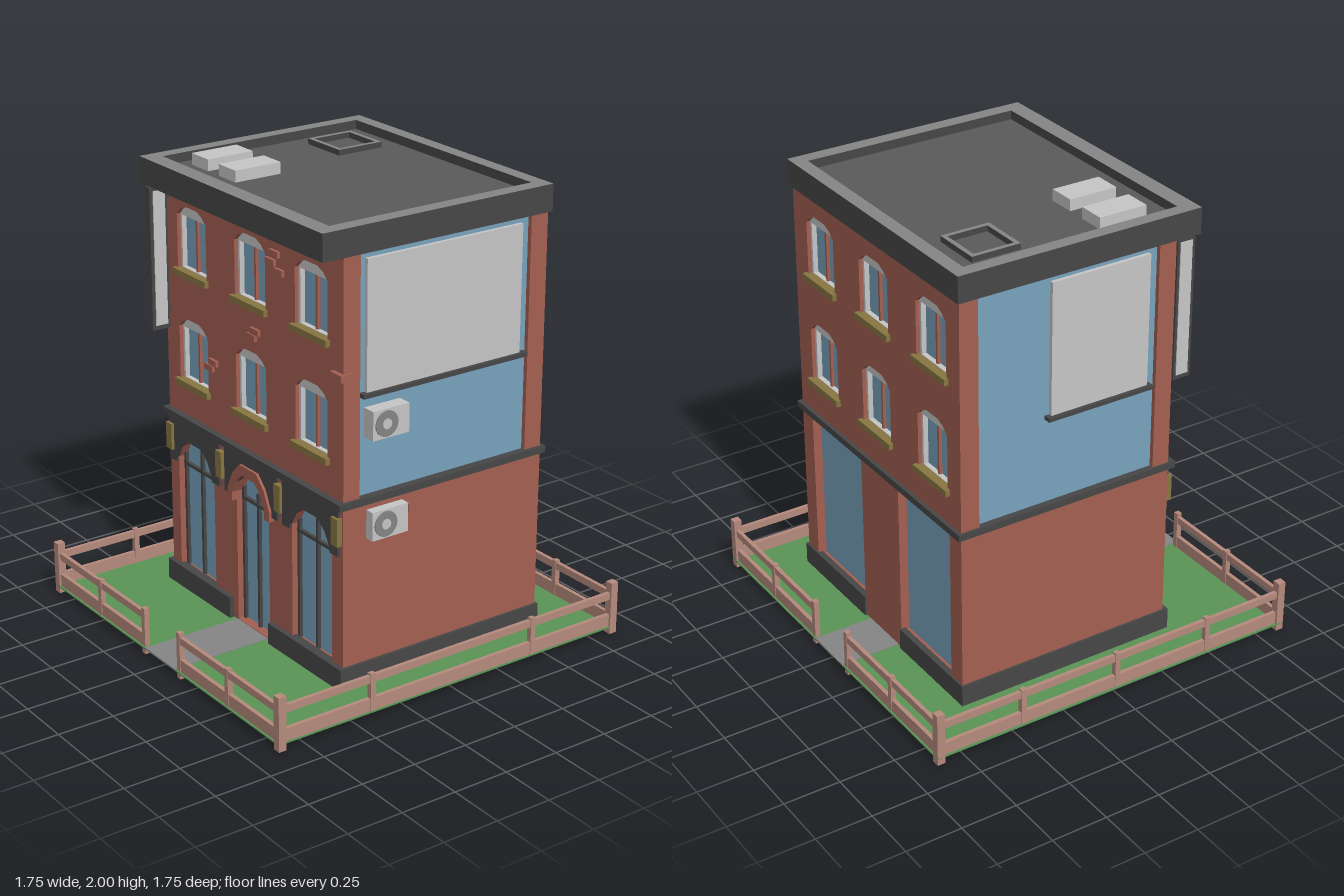
import * as THREE from 'three';

const mat = (name, color) => {
  const m = new THREE.MeshStandardMaterial({ color });
  m.name = name;
  return m;
};

export function createModel() {
  const brick = mat('brick', 0xa46052), glass = mat('blueGlass', 0x78a3bd), dark = mat('darkTrim', 0x474747);
  const deck = mat('roofDeck', 0x5a5a5a), concrete = mat('concrete', 0x858585), light = mat('lightGrey', 0xc6c6c6);
  const grass = mat('grass', 0x5a9455), olive = mat('oliveStone', 0x887642), wood = mat('fenceWood', 0xb58a7d);

  const model = new THREE.Group();
  model.name = 'building';
  const add = (name, geo, m, parent = model) => {
    const mesh = new THREE.Mesh(geo, m);
    mesh.name = name;
    parent.add(mesh);
    return mesh;
  };
  // box given by its extents on each axis
  const box = (name, m, x0, x1, y0, y1, z0, z1, parent) => {
    const b = add(name, new THREE.BoxGeometry(Math.abs(x1 - x0), y1 - y0, Math.abs(z1 - z0)), m, parent);
    b.position.set((x0 + x1) / 2, (y0 + y1) / 2, (z0 + z1) / 2);
    return b;
  };
  const poly = pts => new THREE.Shape(pts.map(p => new THREE.Vector2(...p)));
  const rect = (u0, u1, v0, v1) => poly([[u0, v0], [u1, v0], [u1, v1], [u0, v1]]);
  // opening with a shallow arched head, centred on c
  const archPoints = (c, hw, y0, spring, top) => {
    const h = top - spring;
    const half = [[1, y0], [1, spring], [0.75, spring + h * 0.6], [0.4, top]];
    return [...half.map(([k, y]) => [c + k * hw, y]), ...half.reverse().map(([k, y]) => [c - k * hw, y])];
  };
  const arch = (...a) => poly(archPoints(...a));
  // panel lying in the z-y plane, between x0 and x1
  const panel = (name, m, shape, x0, x1, parent) => {
    const geo = new THREE.ExtrudeGeometry(shape, { depth: Math.abs(x1 - x0), bevelEnabled: false });
    geo.rotateY(-Math.PI / 2);
    const p = add(name, geo, m, parent);
    p.position.x = Math.max(x0, x1);
    return p;
  };

  // ground and paths
  box('lawn', grass, -0.875, 0.875, 0.028, 0.034, -0.875, 0.872);
  for (const s of [-1, 1]) box('path', concrete, s * 0.38, s * 0.876, 0.03, 0.037, -0.115, 0.115);

  // glazed core seen through every opening
  box('glazing', glass, -0.37, 0.56, 0.035, 1.88, -0.605, 0.635);

  // front and back: solid lower wall with corner piers above
  for (const [z0, z1] of [[0.6, 0.655], [-0.57, -0.625]]) {
    box('lowerWall', brick, -0.41, 0.598, 0.035, 0.85, z0, z1);
    box('cornerPier', brick, -0.41, -0.33, 0.85, 1.88, z0, z1);
    box('cornerPier', brick, 0.515, 0.598, 0.85, 1.88, z0, z1);
  }

  // side facades with two rows of three arched windows
  const columns = [-0.42, 0.013, 0.44], rows = [1.01, 1.505];
  for (const s of [1, -1]) {
    const side = new THREE.Group();
    side.name = s > 0 ? 'leftFacade' : 'rightFacade';
    model.add(side);
    const g = s > 0 ? 0.56 : -0.37, out = g + s * 0.04;
    const wall = rect(-0.625, 0.655, 0.035, 1.88);
    for (const y of rows) for (const c of columns) {
      wall.holes.push(arch(c, 0.11, y, y + 0.245, y + 0.29));
      const frame = arch(c, 0.11, y, y + 0.245, y + 0.29);
      frame.holes.push(rect(c - 0.098, c + 0.098, y + 0.012, y + 0.24));
      panel('windowFrame', light, frame, g, g + s * 0.022, side);
      box('mullion', brick, g, g + s * 0.014, y + 0.012, y + 0.24, c - 0.006, c + 0.006, side);
      box('windowSill', olive, g, out + s * 0.02, y - 0.018, y + 0.01, c - 0.125, c + 0.125, side);
    }
    if (s > 0) {
      wall.holes.push(rect(-0.54, -0.142, 0.12, 0.835), rect(0.157, 0.57, 0.12, 0.835));
    } else {
      // shop front: arched windows either side of an arched door
      for (const c of columns) {
        const door = c === columns[1], hw = door ? 0.12 : 0.14, y0 = door ? 0.04 : 0.12;
        wall.holes.push(arch(c, hw, y0, 0.64, 0.74));
        const surround = (w, low, high) => poly([...archPoints(c, hw, low, 0.64, 0.74),
          [c - w, low], [c - w, high], [c + w, high], [c + w, low]]);
        panel('fascia', dark, surround(0.195, 0.62, 0.835), out, out - 0.012, side);
        if (door) {
          const ring = poly([...archPoints(c, hw, 0.6, 0.64, 0.74),
            ...archPoints(c, hw + 0.035, 0.6, 0.65, 0.785).reverse()]);
          panel('doorArch', brick, ring, out, out - 0.024, side);
        }
        for (const d of door ? [-0.11, 0, 0.11] : [-0.13, 0, 0.13])
          box('shopMullion', dark, g, g - 0.015, y0, door || d ? 0.66 : 0.74, c + d - 0.007, c + d + 0.007, side);
        box('transom', dark, g, g - 0.015, 0.6, 0.615, c - hw, c + hw, side);
      }
      for (const z of [-0.6, -0.21, 0.225, 0.625])
        box('bracket', olive, out, out - 0.025, 0.67, 0.79, z - 0.022, z + 0.022, side);
      // raised bricks scattered over the wall
      for (const [z, y] of [[0.2, 1.77], [0.23, 1.7], [0.17, 1.73], [0.055, 1.4], [0.03, 1.37], [-0.29, 1.14], [-0.26, 1.17]])
        box('raisedBrick', brick, out, out - 0.014, y - 0.013, y + 0.013, z - 0.03, z + 0.03, side);
      box('cornerBrick', brick, -0.43, -0.375, 1.37, 1.4, 0.59, 0.667, side);
    }
    panel('sideWall', brick, wall, g, out, side);
    // plinth, left open at the middle
    for (const [z0, z1] of [[-0.635, -0.142], [0.15, 0.668]])
      box('plinth', dark, g + s * 0.02, s > 0 ? 0.608 : -0.432, 0.03, 0.13, z0, z1, side);
  }
  for (const [z0, z1] of [[0.64, 0.668], [-0.61, -0.635]]) box('plinth', dark, -0.432, 0.608, 0.03, 0.13, z0, z1);

  // string course between the floors
  for (const [z0, z1] of [[0.62, 0.67], [-0.59, -0.635]]) box('stringCourse', dark, -0.44, 0.617, 0.83, 0.86, z0, z1);
  for (const [x0, x1] of [[-0.44, -0.36], [0.55, 0.617]]) box('stringCourse', dark, x0, x1, 0.83, 0.86, -0.635, 0.67);

  // roof slab, parapet and deck
  box('roofSlab', dark, -0.517, 0.613, 1.875, 1.945, -0.64, 0.667);
  const rim = rect(-0.517, 0.613, -0.667, 0.64);
  rim.holes.push(rect(-0.44, 0.552, -0.602, 0.58));
  const rimGeo = new THREE.ExtrudeGeometry(rim, { depth: 0.05, bevelEnabled: false });
  rimGeo.rotateX(-Math.PI / 2);
  add('parapet', rimGeo, [concrete, dark]).position.y = 1.94;
  box('roofDeck', deck, -0.44, 0.552, 1.944, 1.95, -0.58, 0.602);
  for (const z of [-0.46, -0.256]) box('skylight', light, -0.335, -0.113, 1.95, 2, z - 0.061, z + 0.061);
  const hatch = rect(0.24, 0.462, 0.275, 0.5);
  hatch.holes.push(rect(0.26, 0.442, 0.295, 0.48));
  const hatchGeo = new THREE.ExtrudeGeometry(hatch, { depth: 0.025, bevelEnabled: false });
  hatchGeo.rotateX(-Math.PI / 2);
  add('roofHatch', hatchGeo, [concrete, dark]).position.y = 1.95;

  // blank billboards with ledges
  box('frontBillboard', light, -0.295, 0.475, 1.295, 1.845, 0.63, 0.652);
  box('billboardLedge', dark, -0.32, 0.505, 1.28, 1.298, 0.63, 0.668);
  box('backBillboard', light, -0.29, 0.175, 1.255, 1.84, -0.6, -0.622);
  box('billboardLedge', dark, -0.31, 0.195, 1.24, 1.257, -0.6, -0.638);

  // hanging sign, blank on both faces
  box('signFrame', dark, -0.51, -0.425, 1.235, 1.865, -0.615, -0.58);
  box('signPanel', light, -0.495, -0.437, 1.255, 1.848, -0.619, -0.576);
  for (const y of [1.3, 1.8]) box('signArm', dark, -0.43, -0.405, y, y + 0.02, -0.605, -0.59);

  // air conditioners
  for (const y of [0.74, 1.17]) {
    const ac = new THREE.Group();
    ac.name = 'airConditioner';
    model.add(ac);
    box('acBody', light, -0.297, -0.12, y - 0.062, y + 0.062, 0.63, 0.697, ac);
    box('acValve', dark, -0.12, -0.1, y + 0.01, y + 0.042, 0.63, 0.672, ac);
    [[0.055, 0.699, concrete], [0.022, 0.702, light]].forEach(([r, z, m], i) => {
      const fan = add(i ? 'acFanHub' : 'acFan', new THREE.CylinderGeometry(r, r, 0.006, 20), m, ac);
      fan.rotation.x = Math.PI / 2;
      fan.position.set(-0.232, y, z);
    });
  }

  // fence with gaps at both paths
  const E = 0.857;
  const fence = new THREE.Group();
  fence.name = 'fence';
  model.add(fence);
  const post = (x, z, r, y0, y1) => box('fencePost', wood, x - r, x + r, y0, y1, z - r, z + r, fence);
  for (const s of [-1, 1]) {
    for (const [y0, y1] of [[0.03, 0.09], [0.16, 0.192]]) {
      box('fenceRail', wood, -E, E, y0, y1, s * E - 0.009, s * E + 0.009, fence);
      for (const t of [-1, 1]) box('fenceRail', wood, s * E - 0.009, s * E + 0.009, y0, y1, t * 0.135, t * E, fence);
    }
    for (const t of [-1, 1]) {
      post(s * E, t * E, 0.018, 0, 0.238);
      post(s * E, t * 0.137, 0.012, 0, 0.21);
      post(s * E, t * 0.495, 0.012, 0.03, 0.2);
    }
  }
  for (const x of [-0.415, 0.412]) post(x, E, 0.012, 0.03, 0.2);
  for (const x of [-0.467, -0.003, 0.46]) post(x, -E, 0.012, 0.03, 0.2);
  return model;
}
